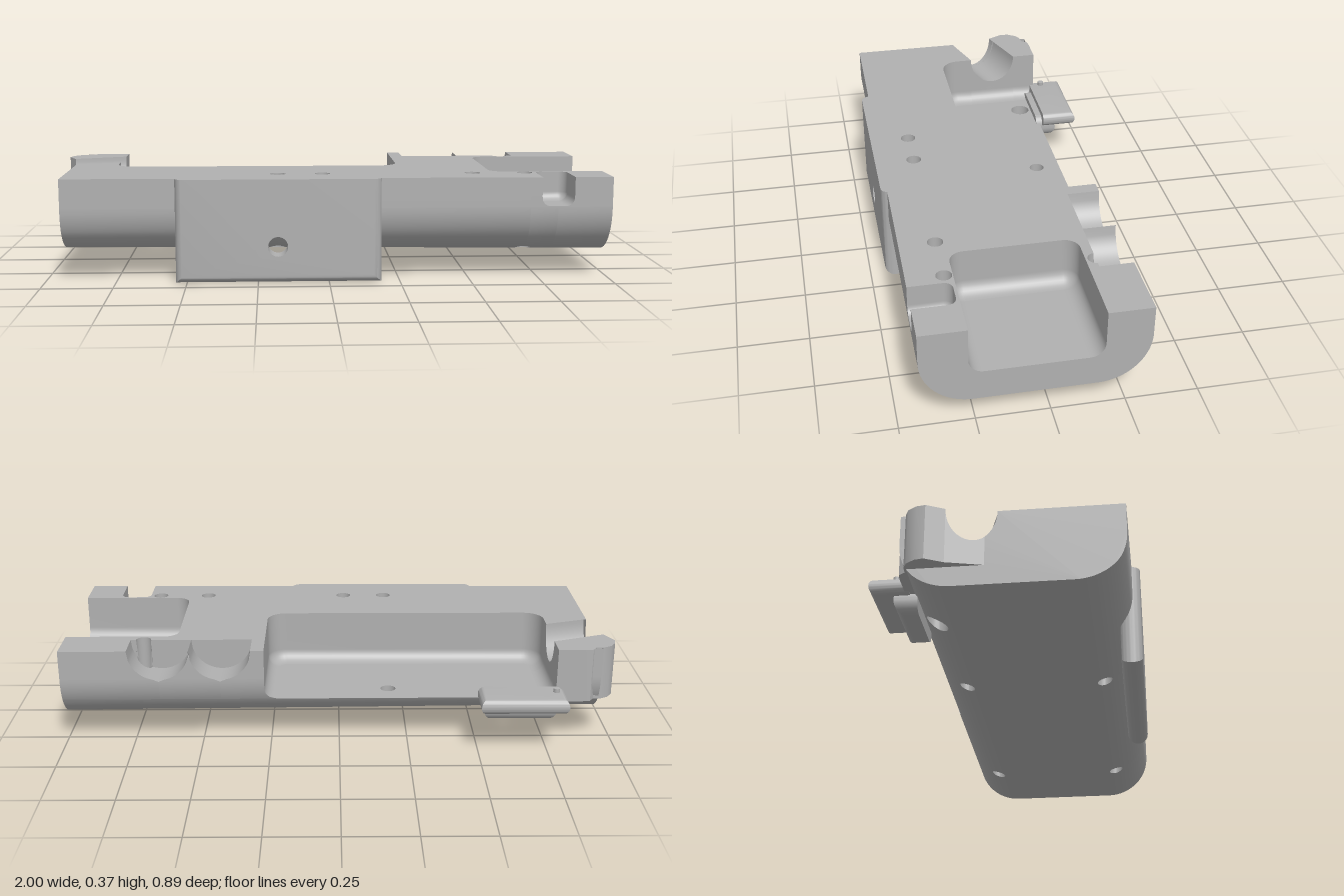
import * as THREE from 'three';
import { toCreasedNormals } from 'three/addons/utils/BufferGeometryUtils.js';

const TOP = 0.368, FLOOR = 0.175;
const gray = new THREE.MeshStandardMaterial({ color: 0xb0b0b0, side: THREE.DoubleSide });
gray.name = 'machined gray';

const range = (n, f) => Array.from({ length: n + 1 }, (_, i) => f(i / n));
const half = (r, d) => Math.sqrt(Math.max(0, r * r - d * d));
const ring = (x, z, r) => range(32, t => [x + r * Math.cos(t * 2 * Math.PI), z + r * Math.sin(t * 2 * Math.PI)]);

// Slight taper of the outer skin towards the left end
const taper = x => (1 - x) / 1.94;
const K = x => 1 - 0.04 * taper(x);
const onSkin = (x, z, y) => [x, y + 0.015 * taper(x) * Math.max(0, (FLOOR - y) / 0.09), z * K(x)];
// Trough-shaped cross-section: bottom height at z, and back z at a height
const yBot = z => 0.26 - half(0.175, Math.max(0, z > 0 ? z - 0.255 : -0.155 - z));
const zBack = y => y >= 0.26 ? -0.33 : -0.155 - half(0.175, 0.26 - y);

// Surface through rows of points; step 2 leaves every other column open
function grid(rows, step = 1) {
  const n = rows[0].length, index = [];
  for (let r = 0; r < rows.length - 1; r++)
    for (let c = 0; c < n - 1; c += step) {
      const a = r * n + c, b = a + n;
      index.push(a, b, a + 1, a + 1, b, b + 1);
    }
  const g = new THREE.BufferGeometry();
  g.setAttribute('position', new THREE.Float32BufferAttribute(rows.flat(2), 3));
  g.setIndex(index);
  g.computeVertexNormals();
  return g;
}
function remap(g, f) {
  const p = g.attributes.position;
  for (let i = 0; i < p.count; i++) p.setXYZ(i, ...f(p.getX(i), p.getY(i), p.getZ(i)));
  g.computeVertexNormals();
  return g;
}
function shape(pts, holes = []) {
  const v = list => list.map(p => new THREE.Vector2(...p));
  const s = new THREE.Shape(v(pts));
  s.holes = holes.map(h => new THREE.Path(v(h)));
  return s;
}
const face = (pts, map, holes) => remap(new THREE.ShapeGeometry(shape(pts, holes)), map);
const level = y => (x, z) => [x, y, z];

// U-shaped outline of an open pocket, inset by i
function uPath(a0, a1, open, close, r, i, extra = []) {
  const s = Math.sign(close - open(a0)), b = close - s * r, q = r - i;
  const arc = (a, from, to) => range(8, t => {
    const w = from + (to - from) * t;
    return [a + q * Math.cos(w), b + s * q * Math.sin(w)];
  });
  return [[a0 + i, open(a0 + i)], ...extra.map(e => [a0 + i, e]),
    ...arc(a0 + r, Math.PI, Math.PI / 2), ...arc(a1 - r, Math.PI / 2, 0), [a1 - i, open(a1 - i)]];
}
const fillet = (fr, floor) => range(8, t => [fr * (1 - Math.cos(t * Math.PI / 2)), floor + fr * (1 - Math.sin(t * Math.PI / 2))]);

export function createModel() {
  const model = new THREE.Group();
  const add = (name, g) => {
    const m = new THREE.Mesh(g, gray);
    m.name = name;
    model.add(m);
    return m;
  };

  // Drilled holes
  const through = [[-0.65, -0.24, 0.037], [-0.18, -0.21, 0.0275], [0.71, -0.21, 0.0275], [-0.18, 0.3, 0.0275], [0.71, 0.3, 0.0275]];
  const blind = [[-0.02, 0.3, 0.0275], [0.52, 0.3, 0.0275]];
  const holeGap = ([x, z, r]) => ({ x, w: zz => half(r, zz * K(x) - z) });
  const pocketGap = (x0, x1, floor, r) => ({
    x: (x0 + x1) / 2,
    w: (z, y) => {
      const d = y - floor;
      return d < -1e-6 ? 0 : (x1 - x0) / 2 - (d >= r ? 0 : r - half(r, r - d));
    }
  });
  const scallops = [0.4275, 0.6475], SR = 0.11;
  const scallopGap = x => ({ x, w: (z, y) => half(SR, TOP - y) });

  // Cross-section rows, refined where holes break through
  const zs = [0.255, 0, -0.155, ...through.flatMap(([x, z, r]) => range(12, t => (z + r * Math.cos(t * Math.PI)) / K(x)))];
  range(16, t => Math.sin(t * Math.PI / 2)).forEach(s => zs.push(0.255 + 0.175 * s, -0.155 - 0.175 * s));
  zs.sort((a, b) => b - a);
  const zf = zBack(FLOOR);
  const row = z => [z, yBot(z)];
  const front = [...[TOP, 0.3, 0.285, 0.275, 0.268, 0.2651, 0.2649].map(y => [0.43, y]), ...zs.filter(z => z >= 0).map(row)];
  const lower = [...zs.filter(z => z <= 0 && z > zf).map(row), [zf, FLOOR]];
  const upper = [...range(10, t => FLOOR + 0.085 * t).map(y => [zBack(y), y]), ...range(20, t => 0.26 + 0.108 * t).map(y => [-0.33, y])];
  const skin = (rows, gaps) => grid(rows.map(([z, y]) =>
    [-0.94, ...gaps.flatMap(g => [g.x - g.w(z, y), g.x + g.w(z, y)]), 1].map(x => onSkin(x, z, y))), 2);
  add('bodyFrontSkin', skin(front, [...through.slice(3).map(holeGap), pocketGap(0.75, 0.865, 0.265, 0.03)]));
  add('bodyBottomSkin', skin(lower, through.slice(0, 3).map(holeGap)));
  add('bodyBackSkin', skin(upper, [pocketGap(-0.78, 0.27, FLOOR, 0.045), ...scallops.map(scallopGap)]));

  // Angled channel at the left end
  const dip = u => 2 * 0.11 * half(0.5, u - 0.5);
  const P1 = [-0.97, -0.165], P2 = [-0.93, 0], P3 = [-0.78, -0.05], P4 = [-0.78, -0.235];
  const arcU = range(24, t => 0.5 - 0.5 * Math.cos(t * Math.PI));
  const channel = new THREE.ExtrudeGeometry(shape([[0, 0.17], ...arcU.map(u => [u, TOP - dip(u)]), [1, 0.17]]), { depth: 1, bevelEnabled: false });
  const mix = (a, b, t) => a + (b - a) * t;
  remap(channel, (u, y, s) => {
    const c = k => mix(mix(P1[k], P4[k], s), mix(P2[k], P3[k], s), u);
    return [c(0), y, c(1)];
  });
  add('angledChannel', toCreasedNormals(channel, 0.6));

  // Left rear lug beside the channel
  const lug = new THREE.ExtrudeGeometry(shape([P1, [-1, -0.225], [-0.995, -0.255], [-0.975, -0.285], [-0.95, -0.298], [-0.92, -0.3],
    [-0.905, -0.322], [-0.88, -0.325], [-0.78, -0.325], P4]), { depth: TOP - 0.17, bevelEnabled: false });
  remap(lug, (x, z, h) => [x, TOP - h, z]);
  add('rearLug', toCreasedNormals(lug, 0.6));

  // Ends of the body
  const section = [...front, ...lower, ...upper];
  const endProfile = fillet(0.05, 0.195);
  add('rightEnd', face([...section, [-0.175, TOP], ...endProfile.map(([i, y]) => [-0.175 + i, y]),
    ...endProfile.map(([i, y]) => [0.27 - i, y]).reverse(), [0.27, TOP]], (z, y) => onSkin(1, z, y)));
  add('leftEnd', face([...section, ...arcU.map(u => [-0.18 * (1 - u), TOP - dip(u)])], (z, y) => onSkin(-0.94, z, y)));

  // Pockets with filleted floors
  function pocket(name, path, floor, fr, topY, map, holes) {
    const prof = fillet(fr, floor);
    const rings = [path(0, TOP).map(p => map(p, topY(p))), ...prof.map(([i, y]) => path(i, y).map(p => map(p, y)))];
    add(name + 'Wall', grid(rings));
    add(name + 'Floor', face(path(fr, floor), (a, b) => map([a, b], floor), holes));
  }
  const chanZ = arcU.map(u => mix(P4[1], P3[1], u));
  const mainPath = (i, y, extra) => uPath(-0.78, 0.27, x => zBack(y) * K(x), 0.08, 0.07, i, extra);
  const rightPath = i => uPath(-0.175, 0.27, () => 1, 0.59, 0.052, i);
  const notchPath = i => uPath(0.75, 0.865, x => 0.43 * K(x), 0.28, 0.03, i);
  const flatTop = () => TOP;
  const channelTop = ([x, z]) => x < -0.779 && z > P4[1] && z < P3[1] ? TOP - dip((z - P4[1]) / (P3[1] - P4[1])) : TOP;
  pocket('mainPocket', (i, y) => mainPath(i, y, chanZ), FLOOR, 0.045, channelTop, ([x, z], y) => [x, y, z],
    through.slice(0, 2).map(h => ring(...h)));
  pocket('rightPocket', rightPath, 0.195, 0.05, flatTop, ([z, x], y) => [x, y, z]);
  pocket('frontNotch', notchPath, 0.265, 0.03, flatTop, ([x, z], y) => [x, y, z]);

  // Top deck
  const back = x => [x, -0.33 * K(x)];
  const deck = [[-0.94, 0.43 * K(-0.94)], ...notchPath(0), [1, 0.43],
    ...rightPath(0).map(([z, x]) => [x, z]).reverse(), back(1), back(0.7575), [0.7575, -0.21],
    ...range(12, t => [0.71 + 0.0275 * Math.cos(t * Math.PI), -0.21 + 0.0275 * Math.sin(t * Math.PI)]),
    [0.3175, -0.21], back(0.3175), ...mainPath(0, TOP).slice(1).reverse(), P3, P2, [-0.94, 0]];
  add('topDeck', face(deck, level(TOP), [...through.slice(3), ...blind].map(h => ring(...h))));

  // Round scallops in the rear edge, one crossed by a drilled hole
  for (const cx of scallops) {
    const xs = range(44, t => cx - SR + 2 * SR * t);
    const y = x => TOP - half(SR, x - cx);
    add('scallop', grid(xs.map(x => [[x, y(x), zBack(y(x)) * K(x)], [x, y(x), -0.21 - half(0.0275, x - 0.71)]])));
    add('scallopEnd', grid(xs.map(x => [[x, y(x), -0.21], [x, Math.abs(x - 0.71) < 0.0274 ? y(x) : TOP, -0.21]])));
  }

  // Hole walls
  through.forEach(([x, z, r], n) => {
    const top = (a, b) => n < 2 ? FLOOR : n === 2 && b < -0.21 ? TOP - half(SR, a - scallops[1]) : TOP;
    add('throughHole', grid(ring(x, z, r).map(([a, b]) => [[a, top(a, b), b], onSkin(a, b / K(a), yBot(b / K(a)))])));
  });
  for (const [x, z, r] of blind) {
    add('blindHole', grid(ring(x, z, r).map(([a, b]) => [[a, TOP, b], [a, 0.2, b]])));
    add('blindHoleBottom', face(ring(x, z, r), level(0.2)));
  }

  // Slab with rounded edges; bevel grows outwards to the given size
  function slab(x0, x1, y0, y1, thick, bevel, hole) {
    const t = thick * 0.47, b = bevel;
    return new THREE.ExtrudeGeometry(shape([[x0 + b, y0 + b], [x1 - b, y0 + b], [x1 - b, y1 - b], [x0 + b, y1 - b]], hole ? [hole] : []),
      { depth: thick - 2 * t, bevelThickness: t, bevelSize: b, bevelSegments: 8, curveSegments: 8 });
  }

  // Front hanging plate with a bore
  const plate = slab(-0.54, 0.185, 0, 0.46, 0.075, 0.028, ring(-0.18, 0.13, 0.06).slice(0, 32));
  remap(plate, (x, y, z) => {
    const d = Math.hypot(x + 0.18, y - 0.13), k = d < 0.1 ? 0.035 / d : 1;
    return [-0.18 + (x + 0.18) * k, Math.min(TOP, 0.13 + (y - 0.13) * k), z + 0.405];
  });
  add('frontPlate', toCreasedNormals(plate, 0.6));

  // Rear tab, its support underneath and a small pin
  const tab = remap(slab(-0.81, -0.5, -0.445, -0.25, 0.055, 0.022), (x, z, h) => [x, 0.196 - h, Math.min(z, -0.31)]);
  add('rearTab', toCreasedNormals(tab, 0.6));
  const support = remap(slab(-0.78, -0.52, -0.365, -0.2, 0.09, 0.035), (x, z, h) => [x, 0.157 - h, Math.min(z, -0.285)]);
  add('tabSupport', toCreasedNormals(support, 0.6));
  add('tabPin', new THREE.CylinderGeometry(0.012, 0.012, 0.04, 20)).position.set(-0.775, 0.216, -0.358);

  return model;
}
